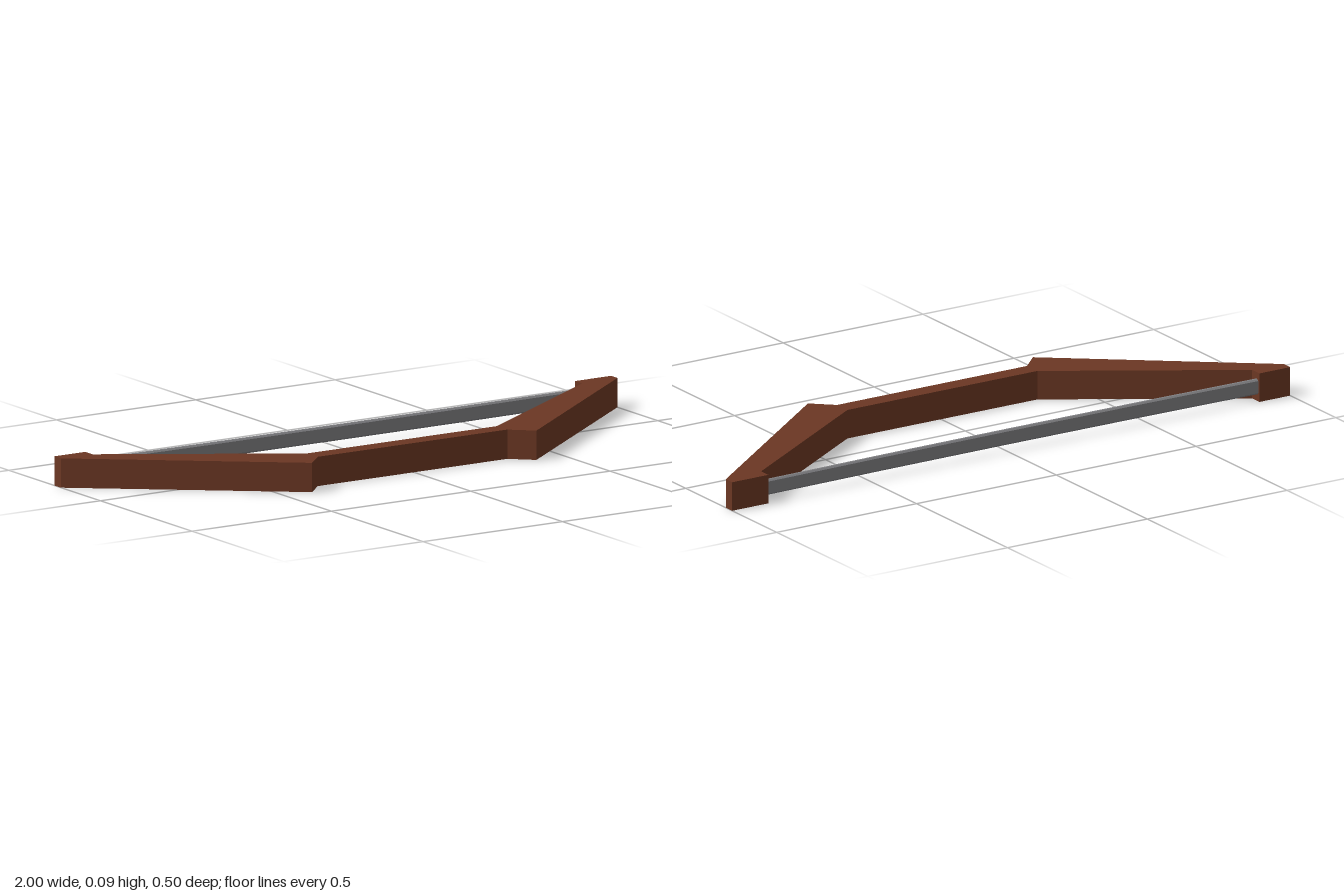
import * as THREE from 'three';

const wood = new THREE.MeshStandardMaterial({ color: 0x6b3723 });
wood.name = 'brown wood';
const cord = new THREE.MeshStandardMaterial({ color: 0x808083 });
cord.name = 'grey cord';

const HEIGHT = 0.09;

function shapeFrom(points) {
  return new THREE.Shape(points.map(([x, y]) => new THREE.Vector2(x, y)));
}

// Angular bow frame: plan outline (x, z) raised to an even height
function makeFrame() {
  const outline = [
    [-1, -0.25], [-1, -0.215], [-0.405, 0.25], [-0.345, 0.19],
    [0.335, 0.19], [0.4, 0.25], [1, -0.22], [1, -0.255],
    [0.87, -0.255], [0.87, -0.215], [0.335, 0.133], [-0.345, 0.133],
    [-0.89, -0.21], [-0.89, -0.25],
  ];
  const geometry = new THREE.ExtrudeGeometry(
    shapeFrom(outline.map(([x, z]) => [x, -z])),
    { depth: HEIGHT, bevelEnabled: false }
  );
  geometry.rotateX(-Math.PI / 2);
  const mesh = new THREE.Mesh(geometry, wood);
  mesh.name = 'bowFrame';
  return mesh;
}

// Flat bowstring with chamfered edges, bowed slightly forward at the middle
function makeString() {
  const w = 0.0085, h = 0.024, c = 0.005;
  const section = [
    [w, -h + c], [w, h - c], [w - c, h], [-w + c, h],
    [-w, h - c], [-w, -h + c], [-w + c, -h], [w - c, -h],
  ];
  const length = 1.78;
  const geometry = new THREE.ExtrudeGeometry(shapeFrom(section), {
    depth: length, steps: 4, bevelEnabled: false,
  });
  geometry.translate(0, 0, -length / 2);
  geometry.rotateY(Math.PI / 2);
  const p = geometry.attributes.position;
  for (let i = 0; i < p.count; i++) {
    const t = p.getX(i) / (length / 2);
    p.setZ(i, p.getZ(i) + 0.008 * (1 - t * t));
  }
  geometry.translate(-0.01, HEIGHT / 2, -0.235);
  geometry.computeVertexNormals();
  const mesh = new THREE.Mesh(geometry, cord);
  mesh.name = 'bowString';
  return mesh;
}

export function createModel() {
  const group = new THREE.Group();
  group.name = 'bow';
  group.add(makeFrame(), makeString());
  return group;
}
